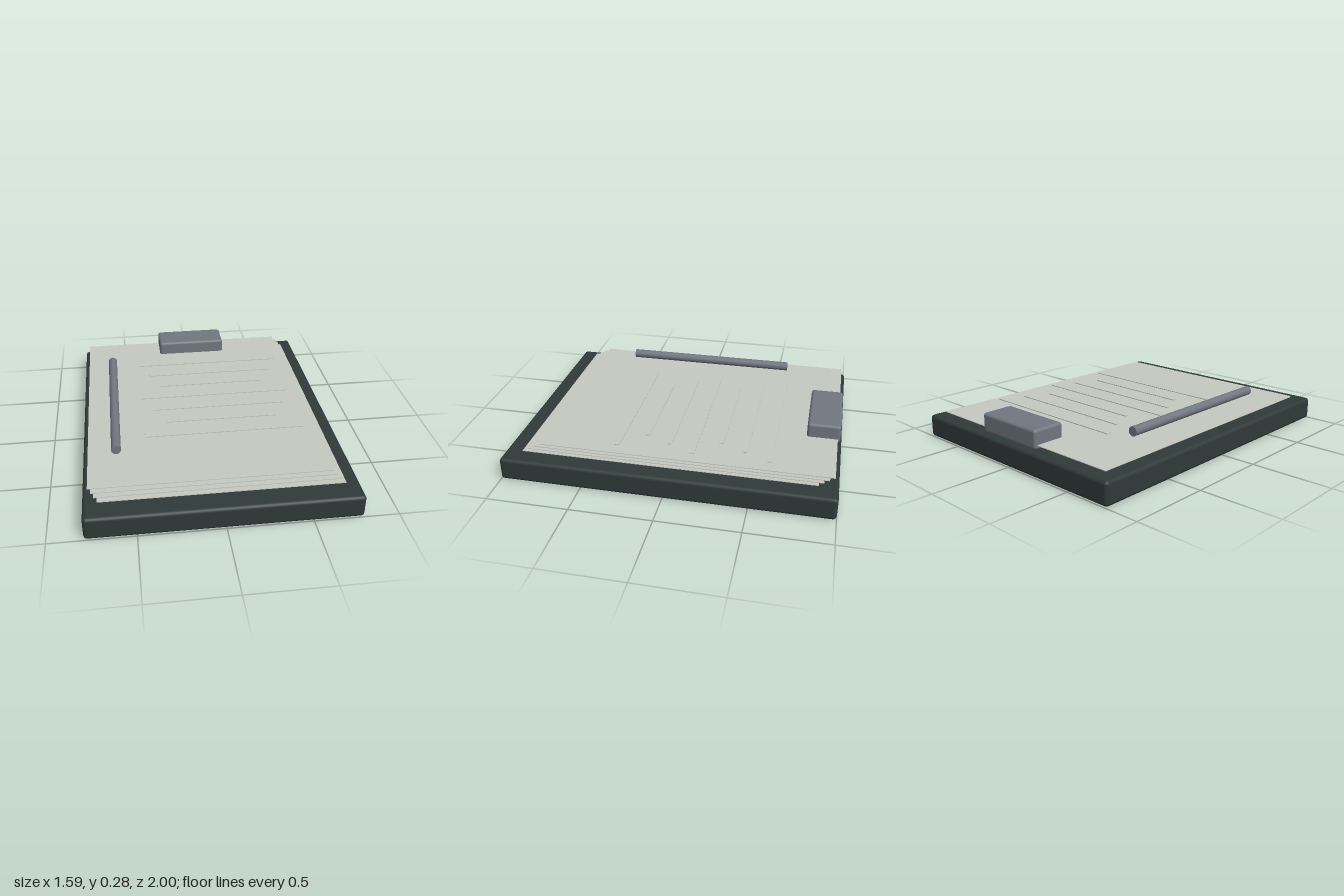
import * as THREE from 'three';
import { RoundedBoxGeometry } from 'three/addons/geometries/RoundedBoxGeometry.js';

const material = (name, color) => {
  const m = new THREE.MeshStandardMaterial({ color });
  m.name = name;
  return m;
};

export function createModel() {
  const group = new THREE.Group();
  const boardDark = material('darkBoard', 0x2f3a38);
  const paper = material('paper', 0xc6c8c2);
  const metal = material('greyMetal', 0x717780);

  const add = (name, geometry, mat, x, y, z) => {
    const mesh = new THREE.Mesh(geometry, mat);
    mesh.name = name;
    mesh.position.set(x, y, z);
    group.add(mesh);
    return mesh;
  };

  // Backing board
  add('board', new RoundedBoxGeometry(1.59, 0.142, 2, 3, 0.022), boardDark, 0, 0.071, 0);

  // Stack of sheets, each shifted left and back from the one below
  const sheet = new THREE.BoxGeometry(1.417, 0.004, 1.765);
  for (let i = 0; i < 4; i++) {
    add('sheet', sheet, paper, -0.003 - i * 0.0175, 0.162 + i * 0.0085, -0.002 - i * 0.03);
  }

  // Raised text rows in three repeating lengths
  const lengths = [1.0, 0.855, 0.71];
  for (let i = 0; i < 7; i++) {
    const row = new THREE.BoxGeometry(lengths[i % 3], 0.005, 0.028);
    add('textRow', row, paper, 0.086, 0.203, -0.595 + i * 0.153);
  }

  // Clip at the back edge
  add('clip', new RoundedBoxGeometry(0.47, 0.118, 0.204, 3, 0.018), metal, -0.003, 0.219, -0.887);

  // Pen lying along the left of the page
  const pen = add('pen', new THREE.CylinderGeometry(0.029, 0.029, 1.116, 18), metal, -0.592, 0.256, -0.031);
  pen.rotation.x = Math.PI / 2;

  return group;
}
